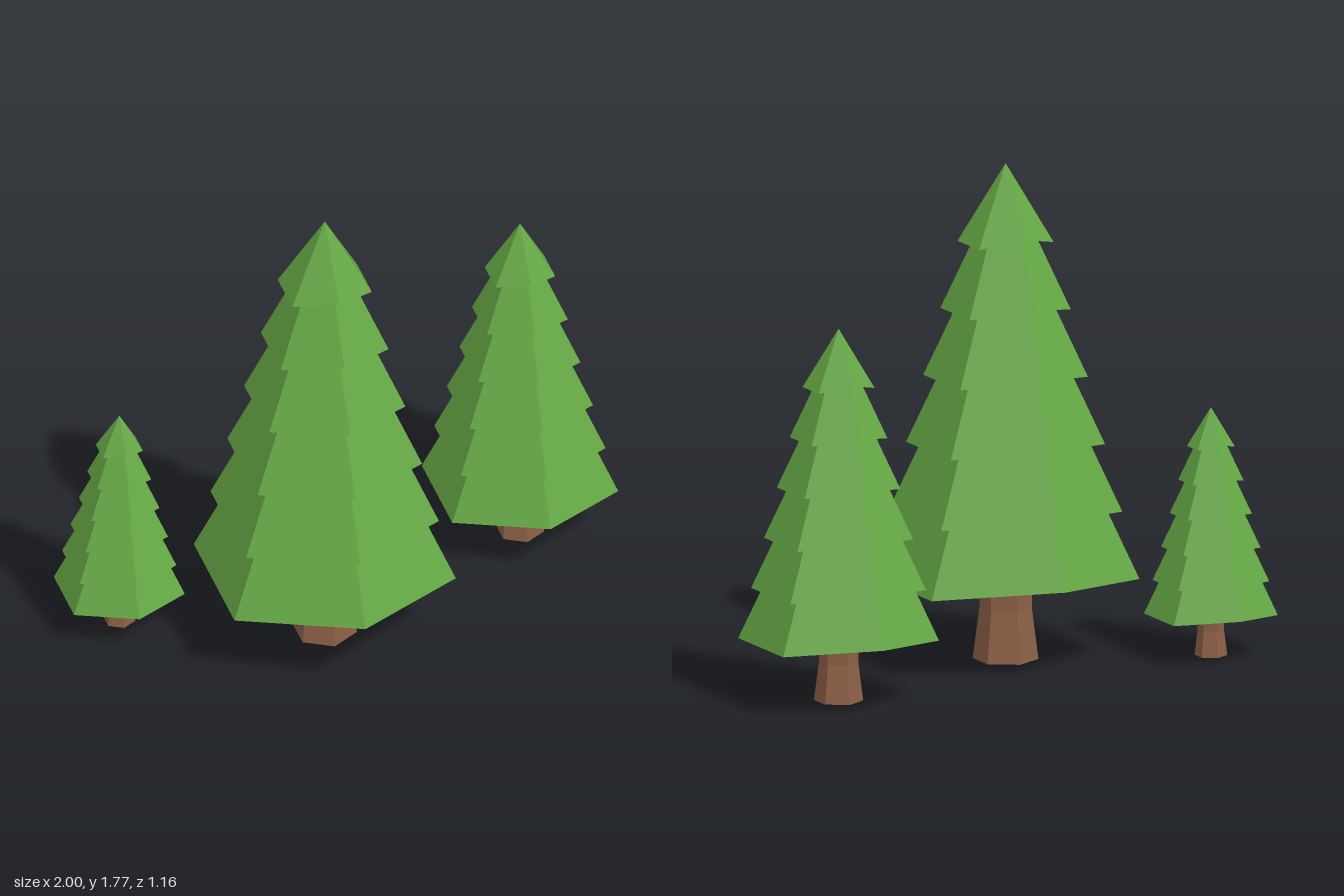
import * as THREE from 'three';

const leafGreen = new THREE.MeshStandardMaterial({ color: 0x66a846 });
const barkBrown = new THREE.MeshStandardMaterial({ color: 0x8c5f45 });

const TIERS = 6;
const STEP = 0.24; // height between tiers
const RIM_Y = 0.29; // lowest rim
const RIM_R = 0.468; // lowest rim radius
const LIFT = 0.037; // front and back rim corners sit higher

// Six-sided faceted solid of revolution; lift(r) raises the front and back corners
function hexSolid(profile, lift = () => 0) {
  const indexed = new THREE.LatheGeometry(profile.map(([r, y]) => new THREE.Vector2(r, y)), 6);
  const geo = indexed.toNonIndexed();
  const p = geo.attributes.position;
  for (let i = 0; i < p.count; i++) {
    if (Math.abs(p.getX(i)) < 1e-4) p.setY(i, p.getY(i) + lift(Math.abs(p.getZ(i))));
  }
  geo.computeVertexNormals(); // unshared corners give flat faces
  return geo;
}

function makeTree(name, x, z, scale) {
  const tree = new THREE.Group();
  tree.name = name;

  // Trunk with a flared foot
  const trunk = new THREE.Mesh(
    hexSolid([[0, 0], [0.115, 0], [0.092, 0.18], [0.092, 0.42]]), barkBrown);
  trunk.name = 'trunk';
  tree.add(trunk);

  // Skirts of foliage, each hollowed underneath and tucked into the one above
  for (let i = 0; i < TIERS; i++) {
    const r = RIM_R - 0.06 * i;
    const y = RIM_Y + STEP * i;
    const top = i === TIERS - 1 ? [0, 1.77] : [r - 0.14, y + STEP + 0.06];
    const tier = new THREE.Mesh(
      hexSolid([[0, y + 0.05], [r, y], top], (d) => LIFT * d / r), leafGreen);
    tier.name = 'foliageTier' + (i + 1);
    tree.add(tier);
  }

  tree.position.set(x, 0, z);
  tree.scale.setScalar(scale);
  return tree;
}

export function createModel() {
  const model = new THREE.Group();
  model.name = 'pineTrees';
  model.add(
    makeTree('largeTree', -0.13, 0.113, 1),
    makeTree('mediumTree', 0.695, -0.232, 0.75),
    makeTree('smallTree', -0.797, -0.155, 0.5));
  return model;
}
